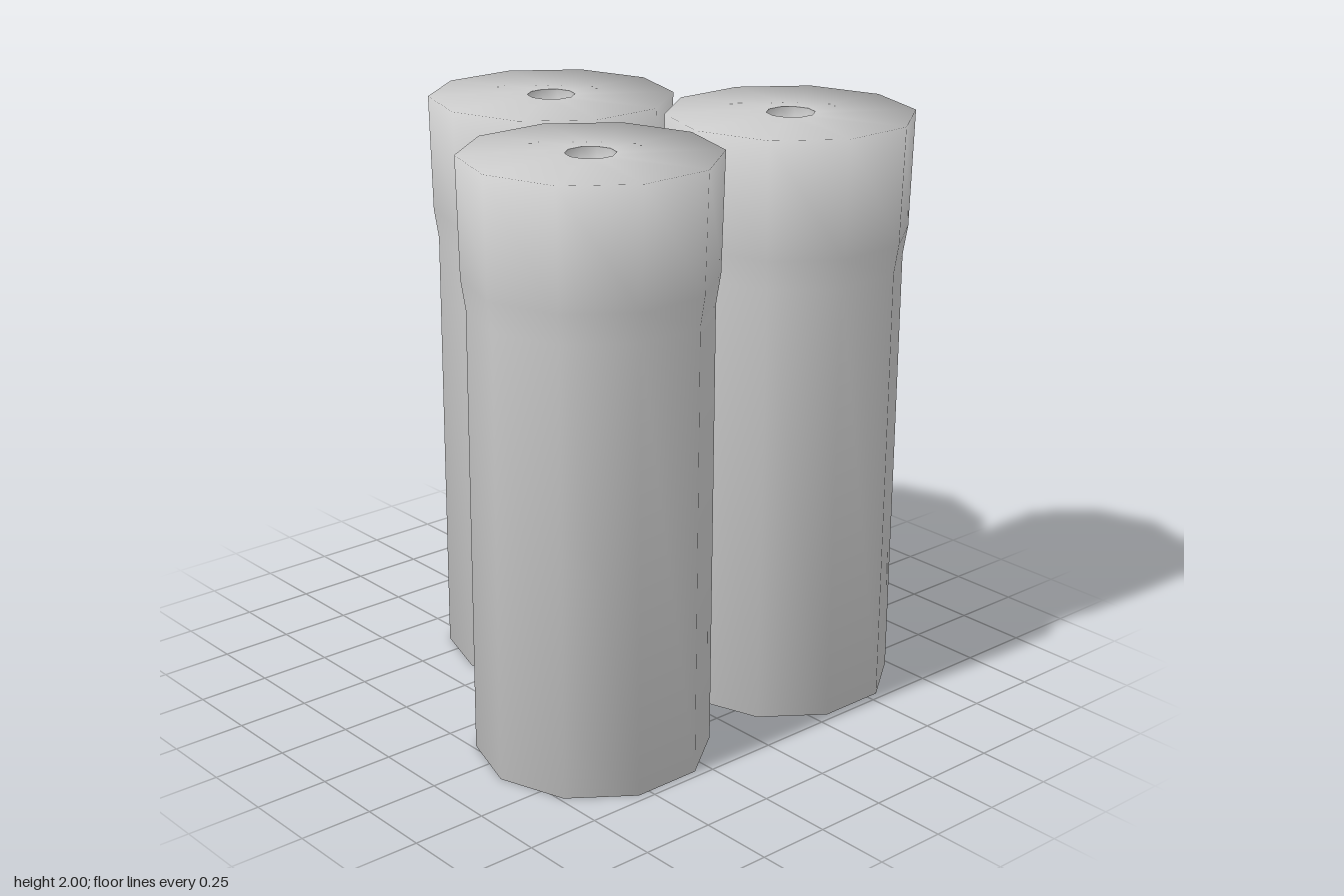
import * as THREE from 'three';

const SIDES = 10;

// Ten-sided turned shape with a corner on the +x axis and soft shading
function turned(name, profile, material) {
  const points = profile.map(([r, y]) => new THREE.Vector2(r, y));
  const mesh = new THREE.Mesh(new THREE.LatheGeometry(points, SIDES, Math.PI / 2), material);
  mesh.name = name;
  return mesh;
}

function createTube(material) {
  const tube = new THREE.Group();
  // closed base, straight wall, flared collar and flat top around the hole
  tube.add(turned('tubeBody', [
    [0, 0], [0.388, 0], [0.388, 1.51], [0.403, 1.61], [0.412, 2], [0.08, 2],
  ], material));
  // shallow hole in the middle of the top
  tube.add(turned('topHole', [[0.08, 2], [0.08, 1.94], [0, 1.94]], material));
  return tube;
}

export function createModel() {
  const model = new THREE.Group();
  model.name = 'tubeCluster';
  const material = new THREE.MeshStandardMaterial({ color: 0xcccccc, side: THREE.DoubleSide });

  // two tubes in front, one behind
  const places = [
    ['leftTube', 0.423, 0.354],
    ['rightTube', -0.423, 0.354],
    ['backTube', 0, -0.359],
  ];
  for (const [name, x, z] of places) {
    const tube = createTube(material);
    tube.name = name;
    tube.position.set(x, 0, z);
    model.add(tube);
  }
  return model;
}
